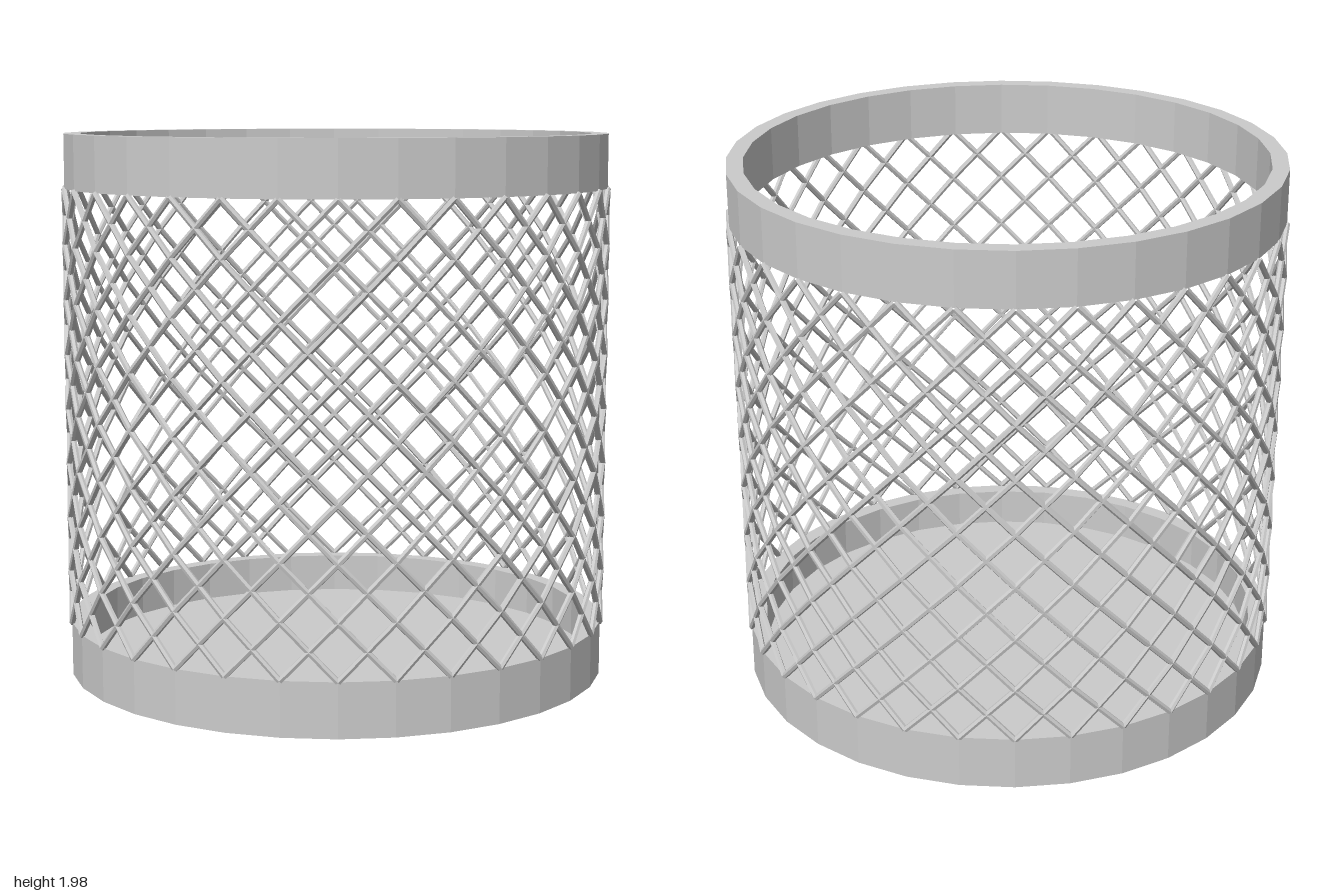
import * as THREE from 'three';

const SIDES = 32, R = 0.99, INNER = 0.93, H = 1.98, RIM = 0.195;
const STEPS = 8;          // diamonds along the height
const WIRE = 0.011;

export function createModel() {
  const group = new THREE.Group();
  const metal = new THREE.MeshStandardMaterial({ color: 0xcccccc, flatShading: true });

  const lathe = (name, profile) => {
    const points = profile.map(([x, y]) => new THREE.Vector2(x, y));
    const mesh = new THREE.Mesh(new THREE.LatheGeometry(points, SIDES), metal);
    mesh.name = name;
    group.add(mesh);
  };

  // Solid tray: floor and lower rim in one piece
  lathe('base', [[0, 0], [R, 0], [R, RIM], [INNER, RIM], [INNER, 0.05], [0, 0.05]]);

  // Open upper rim
  lathe('topRim', [[INNER, H - RIM], [R, H - RIM], [R, H], [INNER, H], [INNER, H - RIM]]);

  // One wire climbs a quarter turn, straight across each facet
  const wireGeometry = (dir) => {
    const node = (i) => {
      const a = dir * i * Math.PI * 2 / SIDES;
      const y = RIM + (H - 2 * RIM) * i / STEPS;
      return new THREE.Vector3(Math.sin(a) * R, y, Math.cos(a) * R);
    };
    const path = new THREE.CurvePath();
    for (let i = 0; i < STEPS; i++) path.add(new THREE.LineCurve3(node(i), node(i + 1)));
    return new THREE.TubeGeometry(path, STEPS, WIRE, 6, false);
  };

  // Diamond mesh: crossing wires in both directions
  const lattice = new THREE.Group();
  lattice.name = 'wireMesh';
  for (const dir of [1, -1]) {
    const geometry = wireGeometry(dir);
    for (let k = 0; k < SIDES; k++) {
      const wire = new THREE.Mesh(geometry, metal);
      wire.name = dir > 0 ? 'leftWire' : 'rightWire';
      wire.rotation.y = k * Math.PI * 2 / SIDES;
      lattice.add(wire);
    }
  }
  group.add(lattice);
  return group;
}
